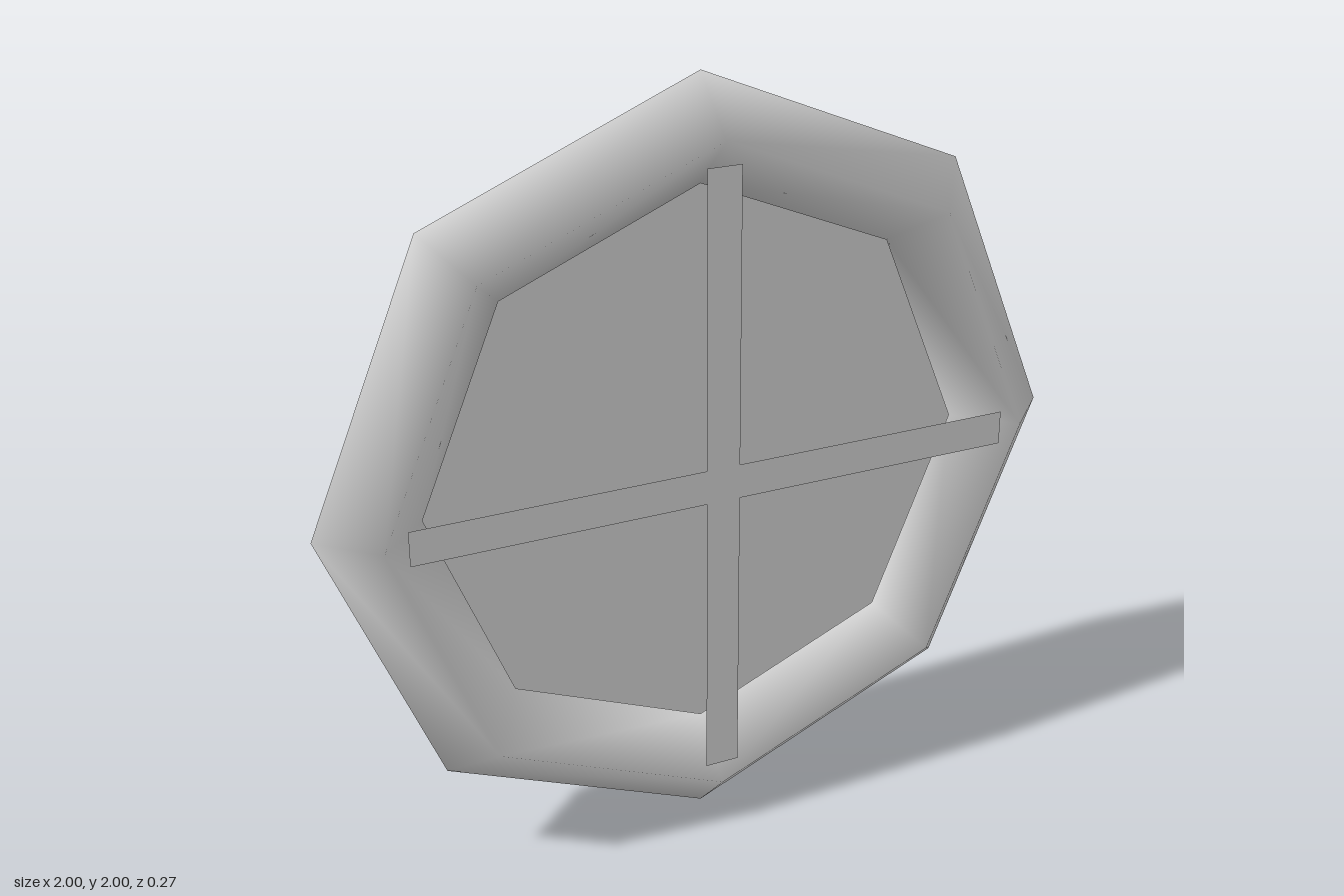
import * as THREE from 'three';

export function createModel() {
  const group = new THREE.Group();
  group.name = 'octagonalWindow';
  const grey = new THREE.MeshStandardMaterial({ color: 0xcccccc, side: THREE.DoubleSide });
  grey.name = 'light grey';

  const add = (name, geometry, z) => {
    const mesh = new THREE.Mesh(geometry, grey);
    mesh.name = name;
    mesh.position.set(0, 1, z);
    group.add(mesh);
  };

  // Eight-sided frame with a diamond section and smooth normals
  add('frame', new THREE.TorusGeometry(0.865, 0.135, 4, 8), 0);

  // Flat pane set towards the back, meeting the frame's inner slope
  add('pane', new THREE.CircleGeometry(0.805, 8), -0.075);

  // Flat cross of glazing bars near the front
  const w = 0.045, r = 0.805;
  const corners = [];
  for (let i = 0; i < 4; i++) {
    const turn = i * Math.PI / 2;
    for (const [x, y] of [[r, -w], [r, w], [w, w]]) {
      corners.push(new THREE.Vector2(x, y).rotateAround(new THREE.Vector2(), turn));
    }
  }
  add('glazingBars', new THREE.ShapeGeometry(new THREE.Shape(corners)), 0.13);

  return group;
}
